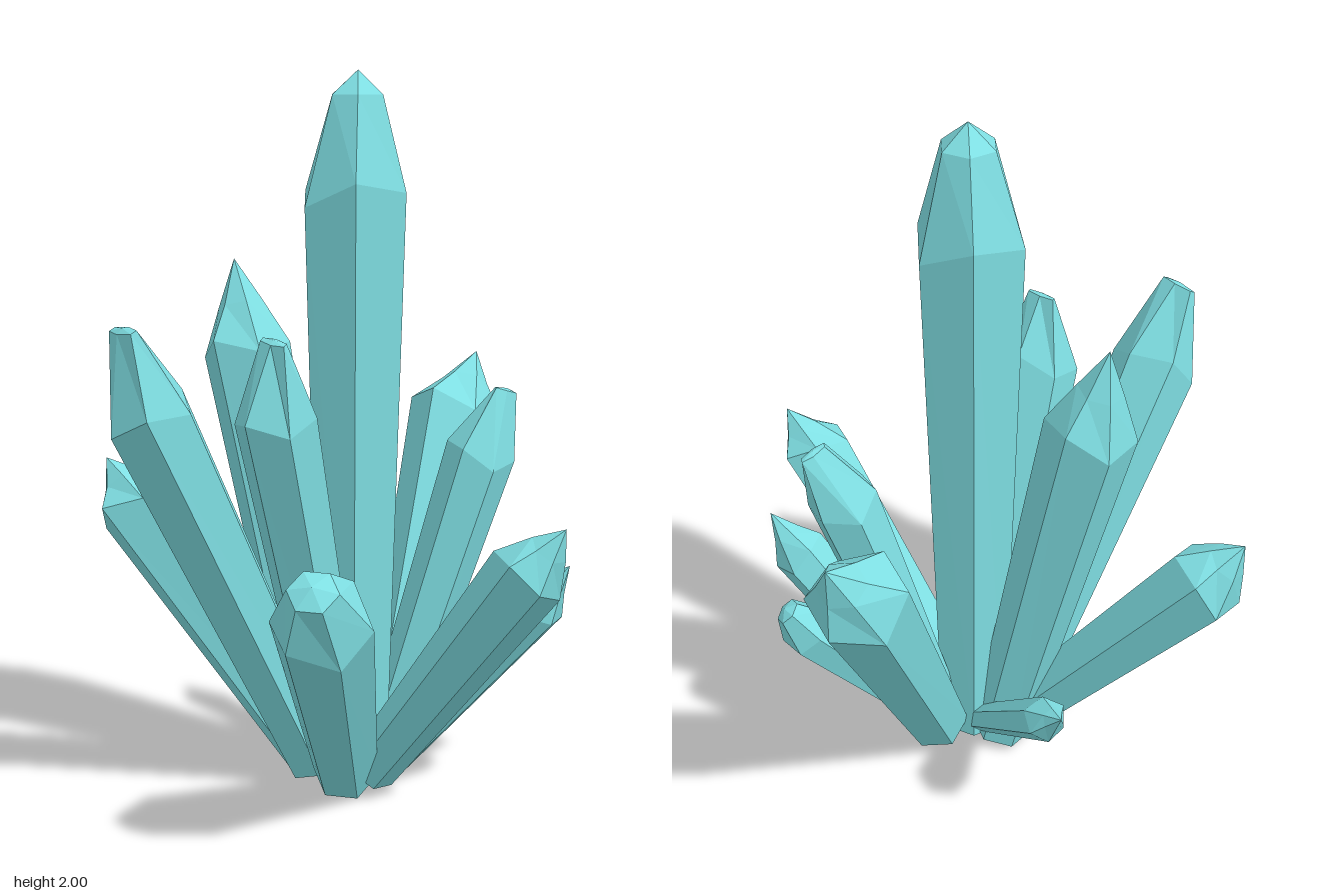
import * as THREE from 'three';

const SIDES = 6;
const UP = new THREE.Vector3(0, 1, 0);

// Cap styles: crown ring as [width, depth, height share between shoulder and tip]
const CAPS = {
  sharp: [0.5, 0.5, 0.5],
  blunt: [0.5, 0.5, 0.8],
  round: [0.5, 0.5, 0.87],
  chisel: [0.5, 0.16, 0.97],
  sideChisel: [0.16, 0.45, 0.97],
};

// name, foot centre, shoulder centre, tip, shoulder radius, cap, roll
const CRYSTALS = [
  ['centreCrystal', [-0.01, 0.04, 0.01], [0, 1.67, 0.01], [0, 2, 0], 0.158, 'blunt', -0.13],
  ['backLeftLargeCrystal', [0, 0.08, -0.12], [-0.29, 0.97, -0.605], [-0.33, 1.14, -0.73], 0.137, 'sharp', 0.3],
  ['leftTallCrystal', [-0.11, 0.04, 0.04], [-0.365, 1.22, 0.12], [-0.41, 1.47, 0.13], 0.128, 'sharp', 0.2],
  ['frontTallCrystal', [-0.08, 0.05, 0.09], [-0.1, 1.11, 0.625], [-0.11, 1.34, 0.69], 0.124, 'chisel', 0],
  ['frontRightTallCrystal', [0.01, 0.05, 0.07], [0.12, 1.1, 0.37], [0.135, 1.31, 0.385], 0.112, 'chisel', 0.2],
  ['frontRightLowCrystal', [0.07, 0.06, 0.1], [0.455, 0.635, 0.475], [0.53, 0.76, 0.56], 0.134, 'round', 0.2],
  ['rightCrystal', [0.12, 0.07, 0.05], [0.625, 0.725, -0.08], [0.71, 0.84, -0.12], 0.107, 'sharp', 0.1],
  ['backRightCrystal', [0.06, 0.06, -0.08], [0.415, 0.55, -0.295], [0.5, 0.67, -0.34], 0.083, 'sharp', 0.5],
  ['backTallCrystal', [0, 0.06, -0.09], [0.125, 0.92, -0.34], [0.15, 1.11, -0.42], 0.1, 'sideChisel', 0.3],
  ['leftSmallCrystal', [-0.09, 0.09, -0.02], [-0.51, 0.45, -0.15], [-0.605, 0.53, -0.18], 0.062, 'sharp', 0.1],
  ['leftLowCrystal', [-0.11, 0.06, 0.08], [-0.615, 0.75, 0.35], [-0.69, 0.88, 0.4], 0.119, 'sharp', 0.2],
  ['backLowCrystal', [0.03, 0.06, -0.09], [0.215, 0.455, -0.425], [0.245, 0.54, -0.48], 0.08, 'round', 0.4],
];

function crystal(name, foot, shoulder, tip, radius, cap, roll, material) {
  const base = new THREE.Vector3(...foot);
  const axis = new THREE.Vector3(...shoulder).sub(base);
  const length = axis.length();
  const turn = new THREE.Quaternion().setFromUnitVectors(UP, axis.normalize());
  const apex = new THREE.Vector3(...tip).sub(base).applyQuaternion(turn.clone().invert());
  const [width, depth, share] = CAPS[cap];

  // Six-sided prism that widens from foot to shoulder, then closes to the tip
  const profile = [[0, 0], [radius * 0.68, 0], [radius, length], [radius, length], [0, apex.y]];
  const geometry = new THREE.LatheGeometry(profile.map(p => new THREE.Vector2(...p)), SIDES, roll);
  const pos = geometry.attributes.position;
  const rows = profile.length;
  for (let i = 0; i < pos.count; i++) {
    const row = i % rows;
    const side = Math.floor(i / rows) % SIDES;
    if (row === 2) {
      // uneven shoulder line
      pos.setY(i, length + radius * 0.25 * Math.sin(side * 2.1 + roll * 9));
    } else if (row === 3) {
      // crown ring, leaning towards the tip
      pos.setXYZ(i, pos.getX(i) * width + apex.x * share,
        length + (apex.y - length) * share, pos.getZ(i) * depth + apex.z * share);
    } else if (row === 4) {
      pos.setXYZ(i, apex.x, apex.y, apex.z);
    }
  }
  geometry.computeVertexNormals();

  const mesh = new THREE.Mesh(geometry, material);
  mesh.name = name;
  mesh.position.copy(base);
  mesh.quaternion.copy(turn);
  return mesh;
}

export function createModel() {
  const group = new THREE.Group();
  group.name = 'crystalCluster';
  const material = new THREE.MeshStandardMaterial({ color: 0x7fdfe3, flatShading: true });
  for (const spec of CRYSTALS) group.add(crystal(...spec, material));
  return group;
}
